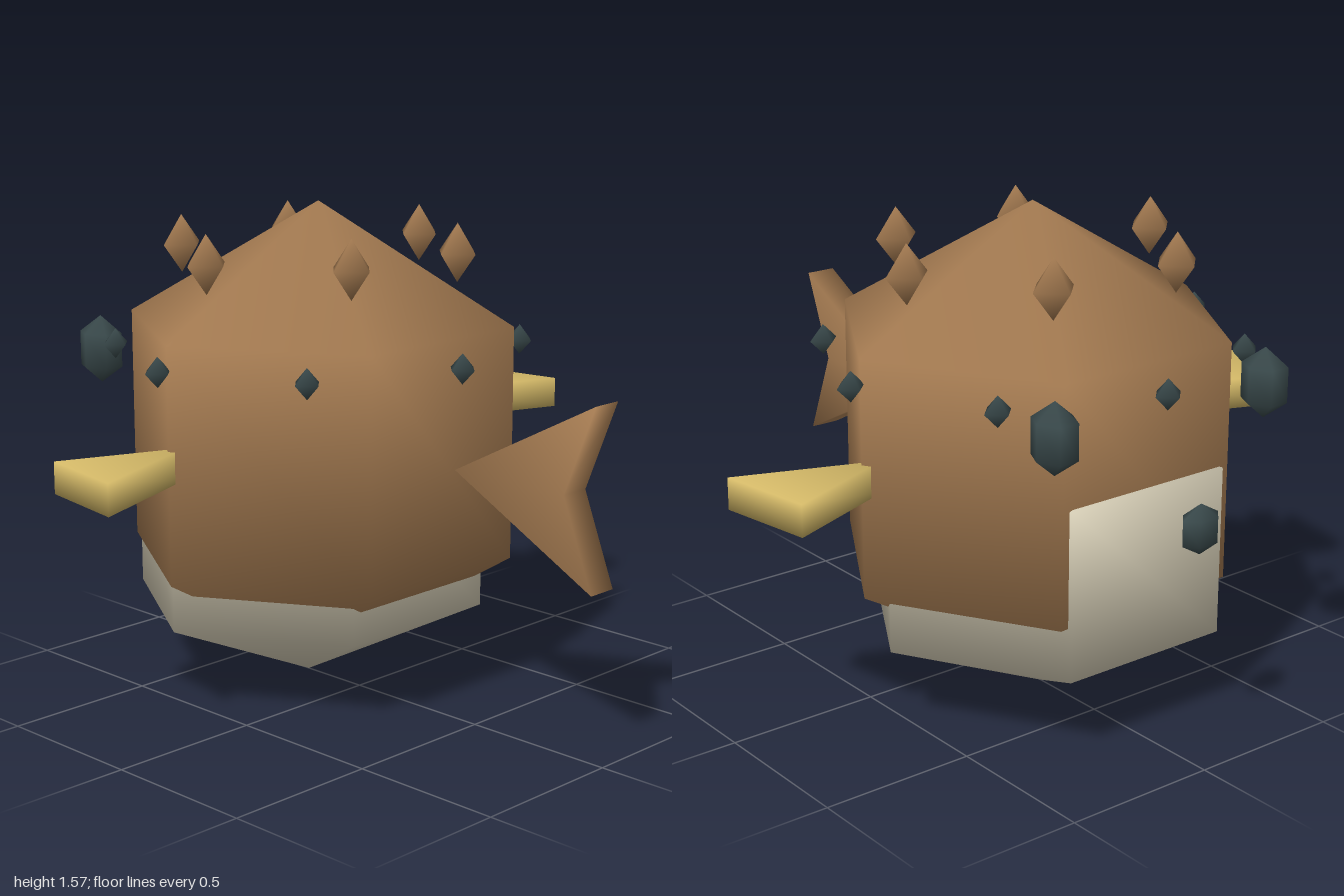
import * as THREE from 'three';
import { mergeVertices } from 'three/addons/utils/BufferGeometryUtils.js';

const mat = (name, color) => {
  const m = new THREE.MeshStandardMaterial({ color });
  m.name = name;
  return m;
};

export function createModel() {
  const brown = mat('brown skin', 0xa67c52);
  const cream = mat('cream belly', 0xd8d0b8);
  const gold = mat('golden fin', 0xdcc06c);
  const slate = mat('dark slate', 0x3a4a4c);
  const group = new THREE.Group();
  group.name = 'pufferFish';

  // Smooth low-poly ball stretched to the given radii
  function ball(name, material, sides, rings, radii, pos) {
    const geo = new THREE.SphereGeometry(1, sides, rings);
    geo.scale(...radii);
    const mesh = new THREE.Mesh(geo, material);
    mesh.name = name;
    mesh.position.set(...pos);
    group.add(mesh);
  }

  // Flat plate with normals smoothed over its edges
  function plate(name, material, points, thickness) {
    const shape = new THREE.Shape(points.map(([x, y]) => new THREE.Vector2(x, y)));
    let geo = new THREE.ExtrudeGeometry(shape, { depth: thickness, bevelEnabled: false });
    geo.translate(0, 0, -thickness / 2);
    geo.deleteAttribute('uv');
    geo.deleteAttribute('normal');
    geo = mergeVertices(geo);
    geo.computeVertexNormals();
    const mesh = new THREE.Mesh(geo, material);
    mesh.name = name;
    group.add(mesh);
    return mesh;
  }

  // Body and the belly that shows below and behind it
  ball('body', brown, 6, 3, [0.737, 0.75, 0.722], [0, 0.82, -0.181]);
  ball('belly', cream, 6, 3, [0.675, 0.535, 0.661], [0, 0.54, -0.236]);

  // Notched tail standing upright
  const tail = plate('tail', brown, [[-0.45, 0.82], [-0.98, 1.1], [-0.87, 0.82], [-0.98, 0.54]], 0.1);
  tail.rotation.y = Math.PI / 2;

  // Side fins lying flat
  for (const s of [-1, 1]) {
    const fin = plate(s > 0 ? 'leftFin' : 'rightFin', gold,
      [[s * 0.57, -0.185], [s * 0.95, -0.337], [s, -0.025]], 0.1);
    fin.rotation.x = Math.PI / 2;
    fin.position.y = 0.82;
  }

  // Upper ring of brown spikes
  for (let i = 0; i < 6; i++) {
    const a = (i / 6) * Math.PI * 2;
    ball('upperSpike', brown, 4, 2, [0.075, 0.093, 0.075],
      [0.47 * Math.cos(a), 1.42, -0.185 + 0.44 * Math.sin(a)]);
  }

  // Lower ring of small dark spikes
  for (let i = 0; i < 8; i++) {
    const a = (i / 8) * Math.PI * 2;
    ball('lowerSpike', slate, 4, 2, [0.048, 0.048, 0.048],
      [0.672 * Math.cos(a), 1.12, -0.183 + 0.615 * Math.sin(a)]);
  }

  // Eyes and mouth
  for (const s of [-1, 1]) {
    ball(s > 0 ? 'leftEye' : 'rightEye', slate, 6, 3, [0.075, 0.11, 0.087], [s * 0.403, 1.07, -0.78]);
  }
  ball('mouth', slate, 6, 3, [0.078, 0.078, 0.049], [0, 0.755, -0.948]);

  return group;
}
